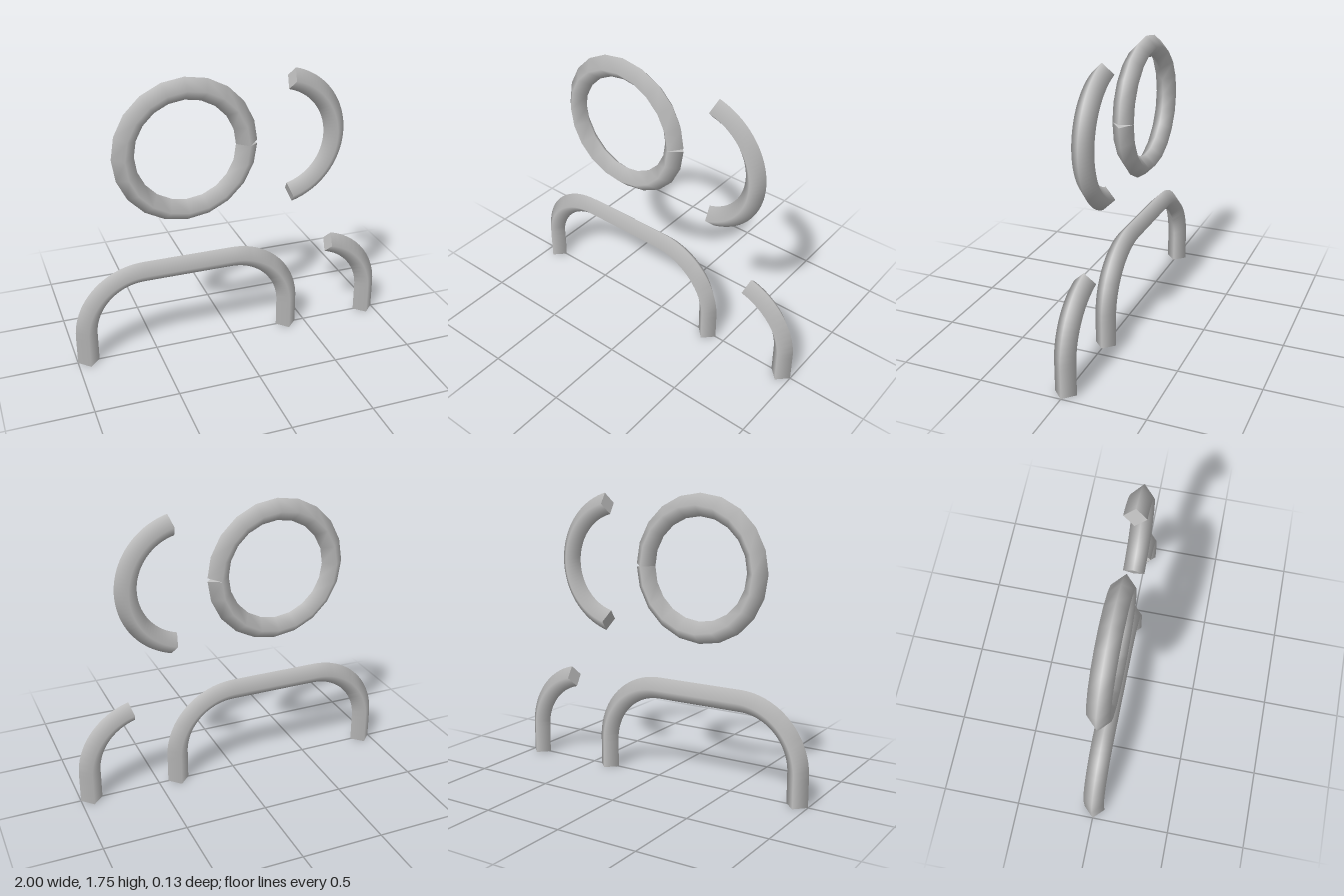
import * as THREE from 'three';

const UNIT = 0.0933;   // one layout unit
const RADIUS = 0.0667; // half the diagonal of the square bar

// Points along an arc, angles in degrees, in layout units
function arc(cx, cy, r, from, to, steps) {
  return Array.from({ length: steps + 1 }, (_, i) => {
    const a = THREE.MathUtils.degToRad(from + ((to - from) * i) / steps);
    return new THREE.Vector3(cx + r * Math.cos(a), cy + r * Math.sin(a), 0);
  });
}

const at = (x, y) => new THREE.Vector3(x, y, 0);

// Square bar, corner forward, swept along a flat path, with closed ends
function bar(name, points, segments, material) {
  const group = new THREE.Group();
  group.name = name;
  const pts = points.map((p) => p.clone().multiplyScalar(UNIT));
  const path = new THREE.CurvePath();
  for (let i = 1; i < pts.length; i++) path.add(new THREE.LineCurve3(pts[i - 1], pts[i]));
  const tube = new THREE.Mesh(new THREE.TubeGeometry(path, segments, RADIUS, 4, false), material);
  tube.name = name + 'Bar';
  group.add(tube);

  const last = pts.length - 1;
  for (const [end, next] of [[pts[0], pts[1]], [pts[last], pts[last - 1]]]) {
    const cap = new THREE.Mesh(new THREE.CircleGeometry(RADIUS, 4), material);
    cap.name = name + 'EndCap';
    cap.position.copy(end);
    cap.up.set(0, 0, 1);
    cap.lookAt(end.clone().multiplyScalar(2).sub(next));
    group.add(cap);
  }
  return group;
}

export function createModel() {
  const model = new THREE.Group();
  model.name = 'peopleSymbol';
  const grey = new THREE.MeshStandardMaterial({ color: 0xc0c0c0 });
  grey.name = 'lightGrey';

  // Coarse ring, its two ends meeting on the +x side
  model.add(bar('mainHead', arc(-3, 14, 4, 0, 360, 20), 20, grey));

  // Arch with rounded shoulders
  model.add(bar('mainShoulders', [
    at(4, 0),
    ...arc(0, 2, 4, 0, 90, 24),
    ...arc(-6, 2, 4, 90, 180, 24),
    at(-10, 0),
  ], 100, grey));

  // Partly hidden second figure
  model.add(bar('secondHead', arc(3, 14, 4, 75.5, -75.5, 40), 40, grey));
  model.add(bar('secondShoulder', [at(10, 0), ...arc(6, 2, 4, 0, 75.5, 24)], 50, grey));

  // Trim the stance so the symbol is centred at the right width
  model.position.x = 0;
  return model;
}
